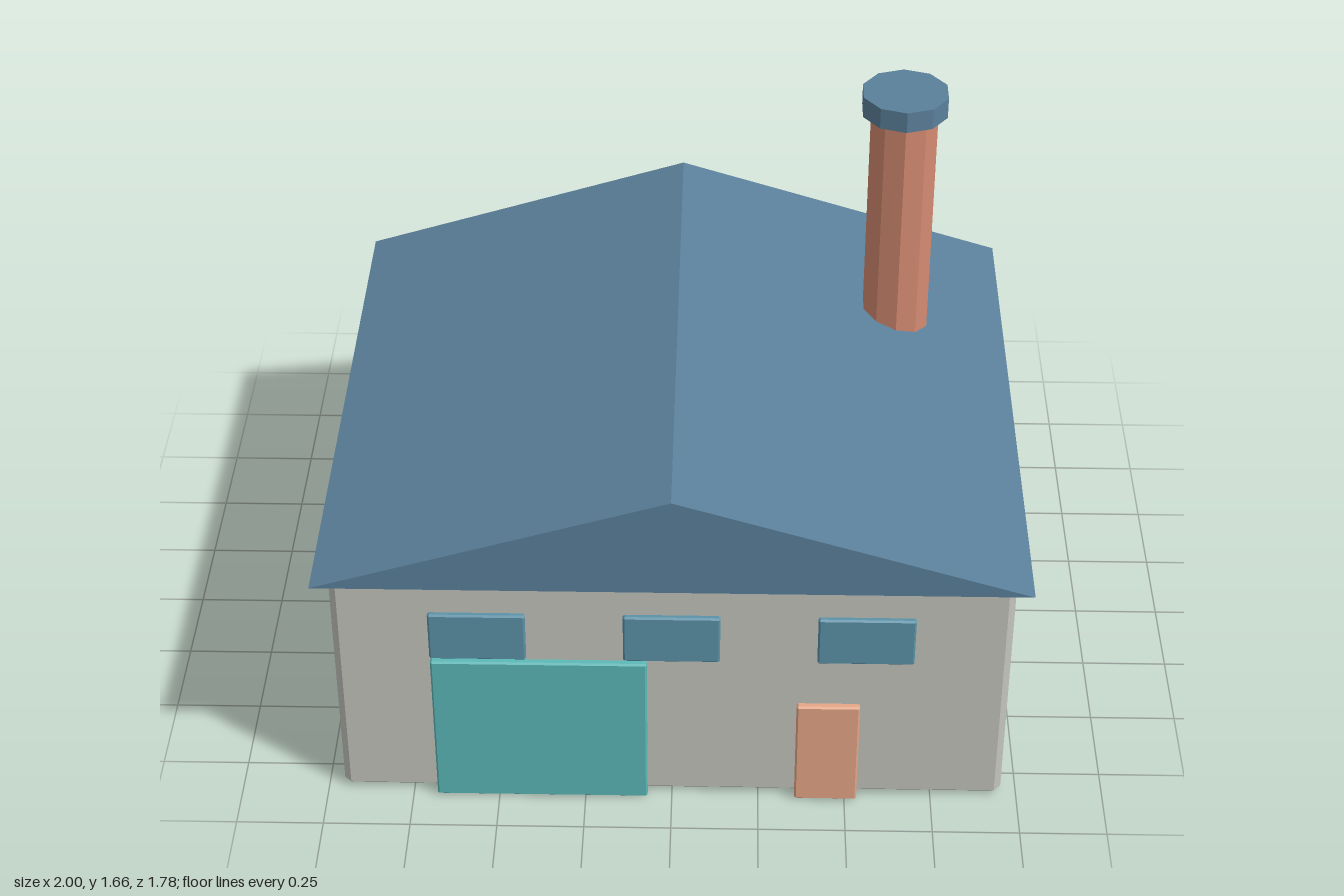
import * as THREE from 'three';
import { ConvexGeometry } from 'three/addons/geometries/ConvexGeometry.js';

const paint = (color) => new THREE.MeshStandardMaterial({ color, flatShading: true });

// Box with every edge chamfered by c: three corner points per corner.
function chamferBox(w, h, d, c) {
  const points = [];
  for (const sx of [-1, 1]) for (const sy of [-1, 1]) for (const sz of [-1, 1]) {
    const x = w / 2, y = h / 2, z = d / 2;
    points.push(
      new THREE.Vector3(sx * x, sy * (y - c), sz * (z - c)),
      new THREE.Vector3(sx * (x - c), sy * y, sz * (z - c)),
      new THREE.Vector3(sx * (x - c), sy * (y - c), sz * z)
    );
  }
  return new ConvexGeometry(points);
}

export function createModel() {
  const house = new THREE.Group();
  house.name = 'house';

  const roofBlue = paint(0x5b809b);
  const brick = paint(0xd48b71);
  const windowBlue = paint(0x5b92a8);

  const add = (name, geometry, material, x, y, z) => {
    const mesh = new THREE.Mesh(geometry, material);
    mesh.name = name;
    mesh.position.set(x, y, z);
    house.add(mesh);
  };

  // Walls
  add('walls', chamferBox(1.91, 0.78, 1.69, 0.02), paint(0xc4c4be), 0, 0.39, 0);

  // Gable roof: a triangular prism along z
  const gable = new THREE.Shape();
  gable.moveTo(-1, 0);
  gable.lineTo(1, 0);
  gable.lineTo(0, 0.31);
  gable.closePath();
  const roof = new THREE.ExtrudeGeometry(gable, { depth: 1.78, bevelEnabled: false });
  add('roof', roof, roofBlue, 0, 0.78, -0.89);

  // Chimney shaft and cap
  add('chimney', new THREE.CylinderGeometry(0.102, 0.102, 0.8, 10), brick, 0.658, 1.2, -0.355);
  add('chimneyCap', new THREE.CylinderGeometry(0.13, 0.13, 0.065, 10), roofBlue, 0.658, 1.627, -0.355);

  // Front panels, standing just proud of the wall
  const panel = (name, x0, x1, y0, y1, depth, material) =>
    add(name, chamferBox(x1 - x0, y1 - y0, depth, 0.005), material,
      (x0 + x1) / 2, (y0 + y1) / 2, 0.851 + depth / 2);

  panel('garageDoor', -0.68, -0.07, 0.003, 0.505, 0.024, paint(0x5cb9b8));
  panel('frontDoor', 0.355, 0.535, 0.003, 0.355, 0.024, paint(0xe6a687));
  ['rightWindow', 'middleWindow', 'leftWindow'].forEach((name, i) => {
    const x = -0.545 + i * 0.545;
    panel(name, x - 0.136, x + 0.136, 0.513, 0.672, 0.02, windowBlue);
  });

  return house;
}
